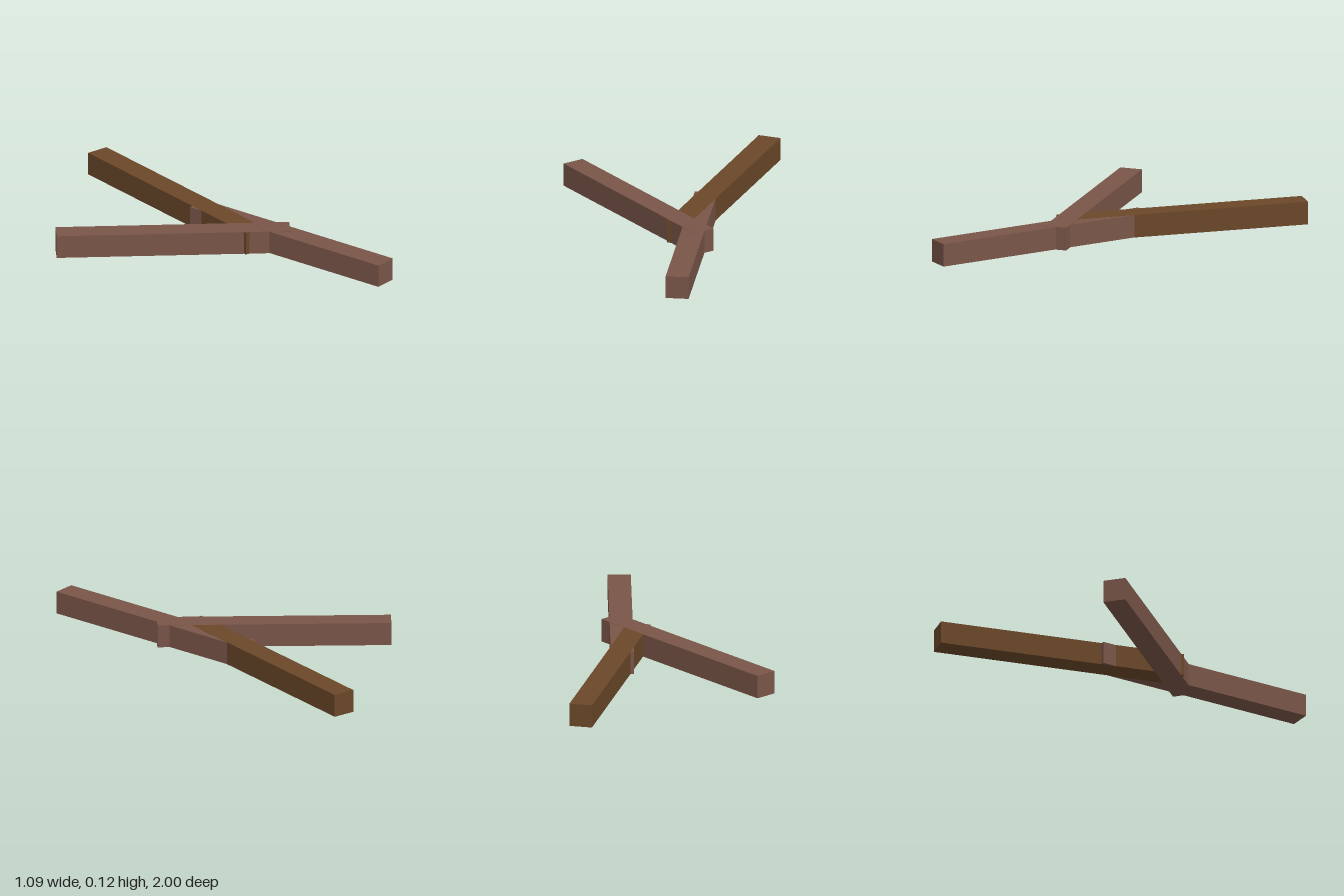
import * as THREE from 'three';

export function createModel() {
  const group = new THREE.Group();
  const paleWood = new THREE.MeshStandardMaterial({ color: 0x795548 });
  paleWood.name = 'paleWood';
  const darkWood = new THREE.MeshStandardMaterial({ color: 0x6a4729 });
  darkWood.name = 'darkWood';

  const thickness = 0.117;

  // Square log lying on the ground between two [x, z] end points;
  // inset separates the coplanar faces where logs cross.
  function addLog(name, material, [x0, z0], [x1, z1], width, inset) {
    const length = Math.hypot(x1 - x0, z1 - z0);
    const log = new THREE.Mesh(
      new THREE.BoxGeometry(width, thickness - 2 * inset, length), material);
    log.position.set((x0 + x1) / 2, thickness / 2, (z0 + z1) / 2);
    log.rotation.y = Math.atan2(x1 - x0, z1 - z0);
    log.name = name;
    group.add(log);
  }

  addLog('sideLog', paleWood, [-0.511, -0.362], [0.411, 0.345], 0.114, 0);
  addLog('backLog', darkWood, [0.305, -0.997], [0.25, 0.268], 0.115, 0.0005);
  addLog('frontLog', paleWood, [0.25, -0.172], [0.486, 0.986], 0.115, 0.001);

  return group;
}
